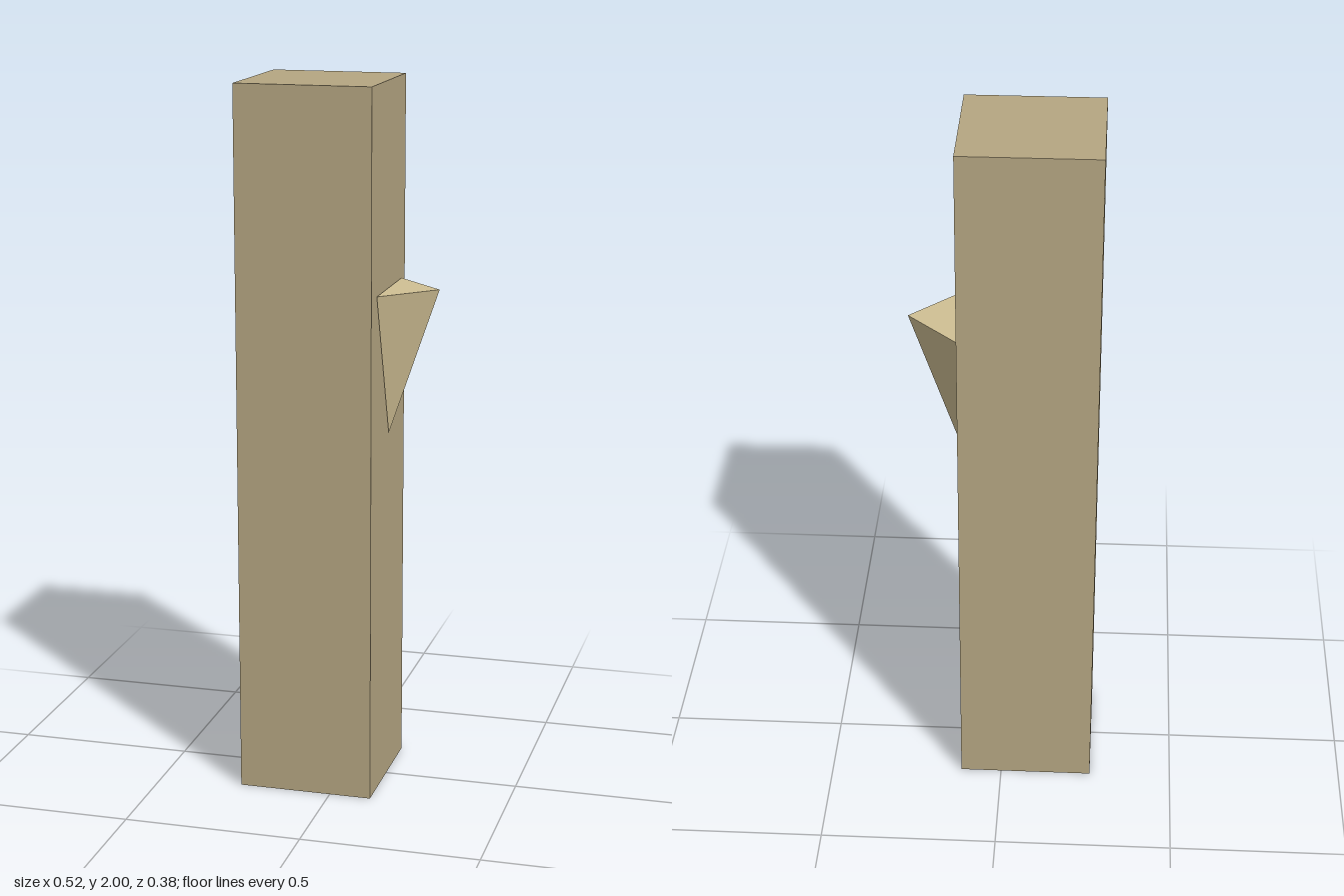
import * as THREE from 'three';

const pillarTan = new THREE.MeshStandardMaterial({ color: 0xb5a682 });
pillarTan.name = 'pillar tan';
const spikeSand = new THREE.MeshStandardMaterial({ color: 0xd0c094 });
spikeSand.name = 'spike sand';

// Flat-faced solid from corner points and outward-wound triangles
function facetedSolid(corners, faces) {
  const geometry = new THREE.BufferGeometry();
  const positions = faces.flat().flatMap((i) => corners[i]);
  geometry.setAttribute('position', new THREE.Float32BufferAttribute(positions, 3));
  geometry.computeVertexNormals();
  return geometry;
}

export function createModel() {
  const model = new THREE.Group();
  model.name = 'pillarWithSpike';

  // Square pillar
  const pillar = new THREE.Mesh(new THREE.BoxGeometry(0.381, 2, 0.381), pillarTan);
  pillar.name = 'pillar';
  pillar.position.set(-0.0725, 1, 0);
  model.add(pillar);

  // Downward-pointing wedge, a hair's breadth off the +x side
  const wallX = 0.121, topY = 1.435;
  const corners = [
    [wallX, topY, 0.143], // front corner
    [wallX, topY, -0.141], // back corner
    [0.262, topY, 0], // outer tip
    [wallX, 1.022, 0.002], // bottom point
  ];
  const faces = [
    [0, 2, 1], // top
    [0, 3, 2], // front slope
    [2, 3, 1], // back slope
    [1, 3, 0], // side against the pillar
  ];
  const spike = new THREE.Mesh(facetedSolid(corners, faces), spikeSand);
  spike.name = 'spike';
  model.add(spike);

  return model;
}
